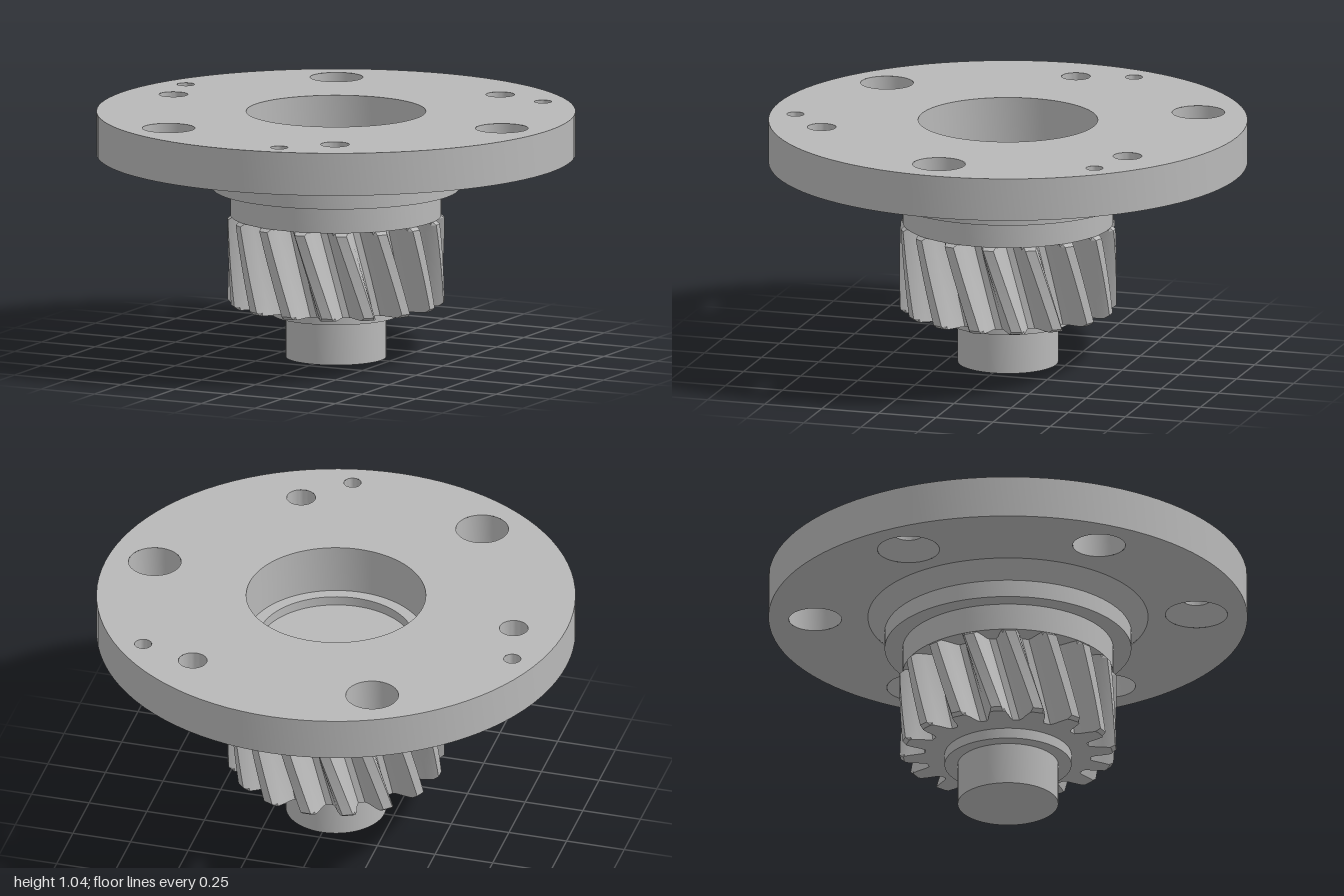
import * as THREE from 'three';
import { toCreasedNormals } from 'three/addons/utils/BufferGeometryUtils.js';

const SEG = 96;
const TOP = 1.04, UNDER = 0.86;

// Hole positions [x, z]
const boltHoles = [[-0.36, -0.72], [0.8, 0.05], [-0.445, 0.67]];
const sunkHoles = [[0.435, -0.66], [-0.785, -0.05], [0.35, 0.705]];
const pinHoles = [[0.67, -0.59], [-0.845, -0.285], [0.175, 0.875]];

export function createModel() {
  const model = new THREE.Group();
  const steel = new THREE.MeshStandardMaterial({ color: 0xb8b8b8 });
  steel.name = 'steel grey';

  const add = (name, geometry, x = 0, z = 0) => {
    const mesh = new THREE.Mesh(geometry, steel);
    mesh.name = name;
    mesh.position.set(x, 0, z);
    model.add(mesh);
  };

  // Turned surface: a rising profile faces outward, a falling one inward
  const turned = (points, segments = SEG) => toCreasedNormals(
    new THREE.LatheGeometry(points.map(p => new THREE.Vector2(...p)), segments), 0.4);

  // Flat disc face pierced by round holes [x, z, r]; side is 1 (up) or -1 (down)
  const face = (holes, y, side) => {
    const shape = new THREE.Shape().absarc(0, 0, 1, 0, Math.PI * 2);
    for (const [x, z, r] of holes) {
      shape.holes.push(new THREE.Path().absarc(x, -side * z, r, 0, Math.PI * 2, true));
    }
    return new THREE.ShapeGeometry(shape, SEG / 2)
      .rotateX(-side * Math.PI / 2).translate(0, y, 0);
  };
  const sized = (list, r) => list.map(([x, z]) => [x, z, r]);

  // Flange
  add('flangeTop', face([[0, 0, 0.375], ...sized(boltHoles, 0.11),
    ...sized(sunkHoles, 0.06), ...sized(pinHoles, 0.036)], TOP, 1));
  add('flangeUnderside', face([[0, 0, 0.585], ...sized(boltHoles, 0.11),
    ...sized(sunkHoles, 0.13)], UNDER, -1));
  add('flangeRim', turned([[1, UNDER], [1, TOP]]));

  // Hole walls: straight, countersunk from below, and blind
  for (const [x, z] of boltHoles) {
    add('boltHole', turned([[0.11, TOP], [0.11, UNDER]], 48), x, z);
  }
  for (const [x, z] of sunkHoles) {
    add('countersunkHole', turned([[0.06, TOP], [0.06, 0.93], [0.13, UNDER]], 48), x, z);
  }
  for (const [x, z] of pinHoles) {
    add('pinHole', turned([[0.036, TOP], [0.036, 0.95], [0.018, 0.935],
      [0.018, 0.9], [0, 0.9]], 32), x, z);
  }

  // Stepped recess in the top
  add('centreBore', turned([[0.375, TOP], [0.375, 0.83], [0.325, 0.83], [0.325, 0.79], [0, 0.79]]));

  // Stepped body between gear and flange
  add('shoulder', turned([[0, 0.6], [0.44, 0.6], [0.44, 0.715], [0.515, 0.715],
    [0.515, 0.79], [0.585, UNDER]]));

  // Shaft end under the gear
  add('shaft', turned([[0, 0], [0.21, 0], [0.21, 0.18], [0.265, 0.18], [0.265, 0.23]]));

  add('helicalGear', helicalGear(16, 0.225, 0.6, 0.28));
  return model;
}

// Tooth outline swept upward with a twist, tips chamfered at both ends
function helicalGear(teeth, y0, y1, twist) {
  const tooth = [[-0.155, 0.348], [-0.128, 0.365], [-0.098, 0.405], [-0.075, 0.432], [-0.048, 0.453],
    [0.048, 0.453], [0.075, 0.432], [0.098, 0.405], [0.128, 0.365], [0.155, 0.348]];
  const n = teeth * tooth.length;
  const levels = [0, 0.035];
  for (let i = 1; i < 10; i++) levels.push(0.035 + 0.093 * i);
  levels.push(0.965, 1);

  const pos = [], idx = [];
  for (const t of levels) {
    const tip = t === 0 || t === 1 ? 0.437 : 1;
    for (let k = 0; k < n; k++) {
      const [offset, r] = tooth[k % tooth.length];
      const a = Math.floor(k / tooth.length) * Math.PI * 2 / teeth + offset - twist * t;
      const rr = Math.min(r, tip);
      pos.push(rr * Math.sin(a), y0 + (y1 - y0) * t, rr * Math.cos(a));
    }
  }
  const bottom = pos.length / 3, top = bottom + 1;
  pos.push(0, y0, 0, 0, y1, 0);

  const last = (levels.length - 1) * n;
  for (let k = 0; k < n; k++) {
    const m = (k + 1) % n;
    for (let b = 0; b < last; b += n) {
      idx.push(b + k, b + m, b + n + m, b + k, b + n + m, b + n + k);
    }
    idx.push(bottom, m, k, top, last + k, last + m);
  }
  const g = new THREE.BufferGeometry();
  g.setAttribute('position', new THREE.Float32BufferAttribute(pos, 3));
  g.setIndex(idx);
  return toCreasedNormals(g, 0.5);
}
